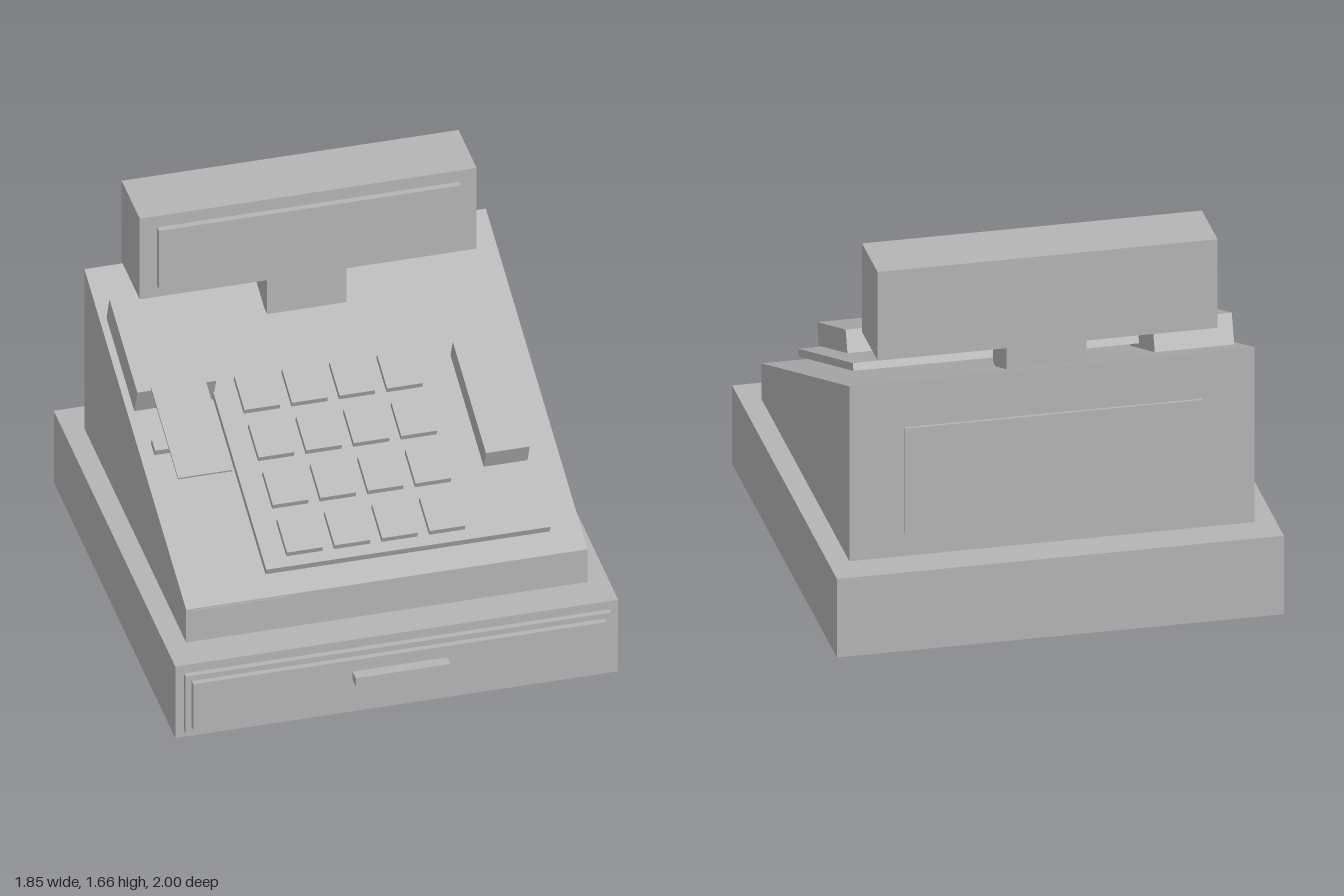
import * as THREE from 'three';

export function createModel() {
  const model = new THREE.Group();
  model.name = 'cashRegister';
  const grey = new THREE.MeshStandardMaterial({ color: 0xb4b4b4 });
  grey.name = 'plain grey';

  // box given by its min and max on each axis
  function box(parent, name, [x0, x1], [y0, y1], [z0, z1]) {
    const mesh = new THREE.Mesh(new THREE.BoxGeometry(x1 - x0, y1 - y0, z1 - z0), grey);
    mesh.position.set((x0 + x1) / 2, (y0 + y1) / 2, (z0 + z1) / 2);
    mesh.name = name;
    parent.add(mesh);
    return mesh;
  }

  // feet
  for (const x of [-0.73, 0.73])
    for (const z of [-0.755, 0.66])
      box(model, 'foot', [x - 0.098, x + 0.098], [0, 0.07], [z - 0.098, z + 0.098]);

  // cash drawer
  box(model, 'drawerCase', [-0.927, 0.927], [0.07, 0.42], [-1, 0.9]);
  box(model, 'drawerFrame', [-0.89, 0.89], [0.1, 0.38], [0.9, 0.925]);
  box(model, 'drawerFront', [-0.865, 0.865], [0.13, 0.355], [0.925, 0.95]);
  box(model, 'drawerHandle', [-0.198, 0.198], [0.26, 0.3], [0.95, 1]);

  // wedge body: side profile (z, y) extruded across the width
  const profile = new THREE.Shape([
    [-0.745, 0.42], [0.845, 0.42], [0.845, 1.2], [-0.745, 0.58],
  ].map(([x, y]) => new THREE.Vector2(x, y)));
  const bodyGeometry = new THREE.ExtrudeGeometry(profile, { depth: 1.68, bevelEnabled: false });
  bodyGeometry.translate(0, 0, -0.84).rotateY(Math.PI / 2);
  const body = new THREE.Mesh(bodyGeometry, grey);
  body.name = 'body';
  model.add(body);
  box(model, 'frontPlate', [-0.81, -0.42], [0.46, 0.573], [0.744, 0.749]);
  box(model, 'backPanel', [-0.617, 0.617], [0.535, 1], [-0.871, -0.858]);

  // customer display on its neck
  box(model, 'displayNeck', [-0.166, 0.166], [1.085, 1.266], [-0.745, -0.505]);
  box(model, 'displayHousing', [-0.705, 0.705], [1.265, 1.66], [-0.767, -0.485]);
  box(model, 'displayScreen', [-0.632, 0.632], [1.32, 1.605], [-0.485, -0.458]);

  // everything on the slope: local y is the slope normal, local -z runs uphill
  const slope = new THREE.Group();
  slope.name = 'slopedTop';
  slope.position.set(0, 0.58, 0.745);
  slope.rotation.x = Math.atan2(0.62, 1.59);
  model.add(slope);

  // keypad
  box(slope, 'keypadPlate', [-0.485, 0.705], [0.02, 0.052], [-1.16, -0.1]);
  for (let row = 0; row < 4; row++) {
    for (let col = 0; col < 4; col++) {
      const x = -0.313 + col * 0.199;
      const z = -0.235 - row * 0.238;
      box(slope, 'key', [x - 0.075, x + 0.075], [0.01, 0.078], [z - 0.085, z + 0.085]);
    }
  }
  box(slope, 'barKey', [0.502, 0.685], [0.08, 0.176], [-0.975, -0.418]);

  // receipt printer
  box(slope, 'printerHousing', [-0.81, -0.48], [-0.005, 0.13], [-1.457, -0.99]);
  box(slope, 'printerSlot', [-0.785, -0.5], [0.011, 0.042], [-0.815, -0.757]);
  box(slope, 'receiptPaper', [-0.757, -0.53], [0.153, 0.162], [-0.987, -0.53]);

  return model;
}
